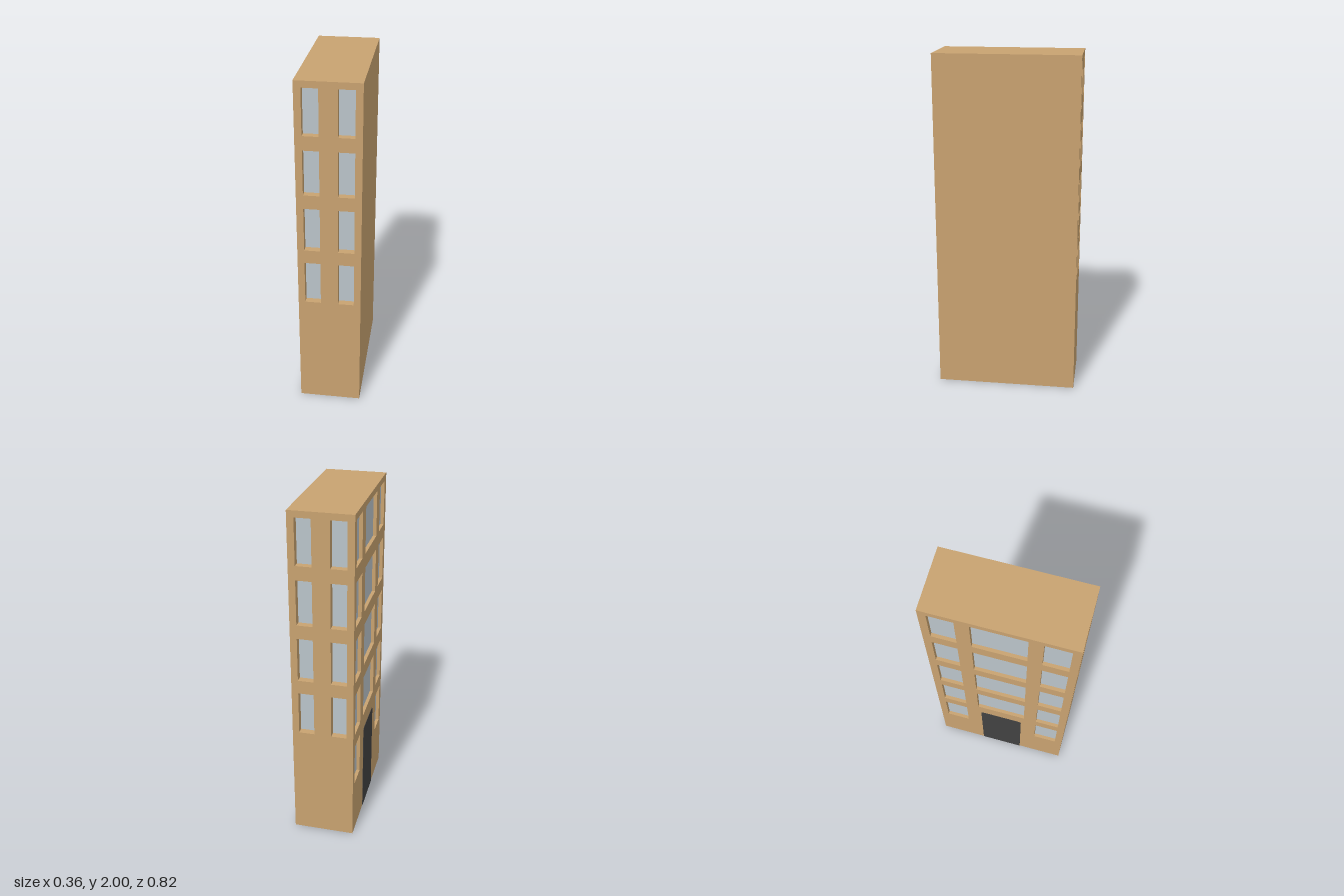
import * as THREE from 'three';
import { mergeGeometries } from 'three/addons/utils/BufferGeometryUtils.js';

const W = 0.358, D = 0.825, H = 2;      // building width, depth, height
const PITCH = 0.341, WIN_H = 0.26;      // storey spacing, window height
const TOP_SILL = 1.703;                 // sill height of the top storey

const material = (name, color) => {
  const m = new THREE.MeshStandardMaterial({ color });
  m.name = name;
  return m;
};

function rect(path, x0, y0, x1, y1) {
  path.moveTo(x0, y0);
  path.lineTo(x1, y0);
  path.lineTo(x1, y1);
  path.lineTo(x0, y1);
  path.closePath();
  return path;
}

export function createModel() {
  const sand = material('sand wall', 0xc8a270);
  const glass = material('pale glass', 0xbac4ca);
  const dark = material('dark door', 0x424242);

  const model = new THREE.Group();
  model.name = 'apartmentBlock';

  const add = (parent, name, geometry, mat) => {
    const mesh = new THREE.Mesh(geometry, mat);
    mesh.name = name;
    parent.add(mesh);
    return mesh;
  };

  // One facade facing +z: wall with openings, their reveals and recessed panes
  function facade(name, width, windows, recess) {
    const group = new THREE.Group();
    group.name = name;
    const shape = rect(new THREE.Shape(), -width / 2, 0, width / 2, H);
    const reveals = [];
    for (const { x, y, w } of windows) {
      const h = WIN_H, cy = y + h / 2, q = Math.PI / 2;
      shape.holes.push(rect(new THREE.Path(), x - w / 2, y, x + w / 2, y + h));
      for (const s of [-1, 1]) {
        // jambs
        reveals.push(new THREE.PlaneGeometry(recess, h)
          .rotateY(-s * q).translate(x + s * w / 2, cy, -recess / 2));
        // sill and head
        reveals.push(new THREE.PlaneGeometry(w, recess)
          .rotateX(s * q).translate(x, cy + s * h / 2, -recess / 2));
      }
      add(group, 'windowPane', new THREE.PlaneGeometry(w, h).translate(x, cy, -recess), glass);
    }
    add(group, 'wall', mergeGeometries([new THREE.ShapeGeometry(shape), ...reveals]), sand);
    model.add(group);
    return group;
  }

  // Window grid: storeys counted down from the top
  const grid = (columns, storeys) => columns.flatMap(([x, w]) =>
    Array.from({ length: storeys }, (_, i) => ({ x, w, y: TOP_SILL - i * PITCH })));

  // Narrow front and back
  const narrow = grid([[-0.095, 0.09], [0.095, 0.09]], 4);
  facade('frontFacade', W, narrow, 0.04).position.z = D / 2;
  const back = facade('backFacade', W, narrow, 0.04);
  back.rotation.y = Math.PI;
  back.position.z = -D / 2;

  // Broad entrance side with wide middle windows
  const entrance = facade('entranceFacade', D, [
    ...grid([[-0.297, 0.141], [0.297, 0.141]], 5),
    ...grid([[0, 0.297]], 4),
  ], 0.02);
  entrance.rotation.y = -Math.PI / 2;
  entrance.position.x = -W / 2;

  // Plain party wall
  const plain = facade('plainFacade', D, [], 0);
  plain.rotation.y = Math.PI / 2;
  plain.position.x = W / 2;

  // Door plate with rounded top corners
  const hw = 0.131, dh = 0.577, r = 0.02;
  const door = new THREE.Shape();
  door.moveTo(-hw, 0);
  door.lineTo(hw, 0);
  door.lineTo(hw, dh - r);
  door.quadraticCurveTo(hw, dh, hw - r, dh);
  door.lineTo(-hw + r, dh);
  door.quadraticCurveTo(-hw, dh, -hw, dh - r);
  door.closePath();
  add(entrance, 'door',
    new THREE.ExtrudeGeometry(door, { depth: 0.002, bevelEnabled: false, curveSegments: 6 }), dark);

  // Roof and underside
  add(model, 'roof', new THREE.PlaneGeometry(W, D).rotateX(-Math.PI / 2).translate(0, H, 0), sand);
  add(model, 'underside', new THREE.PlaneGeometry(W, D).rotateX(Math.PI / 2), sand);

  return model;
}
